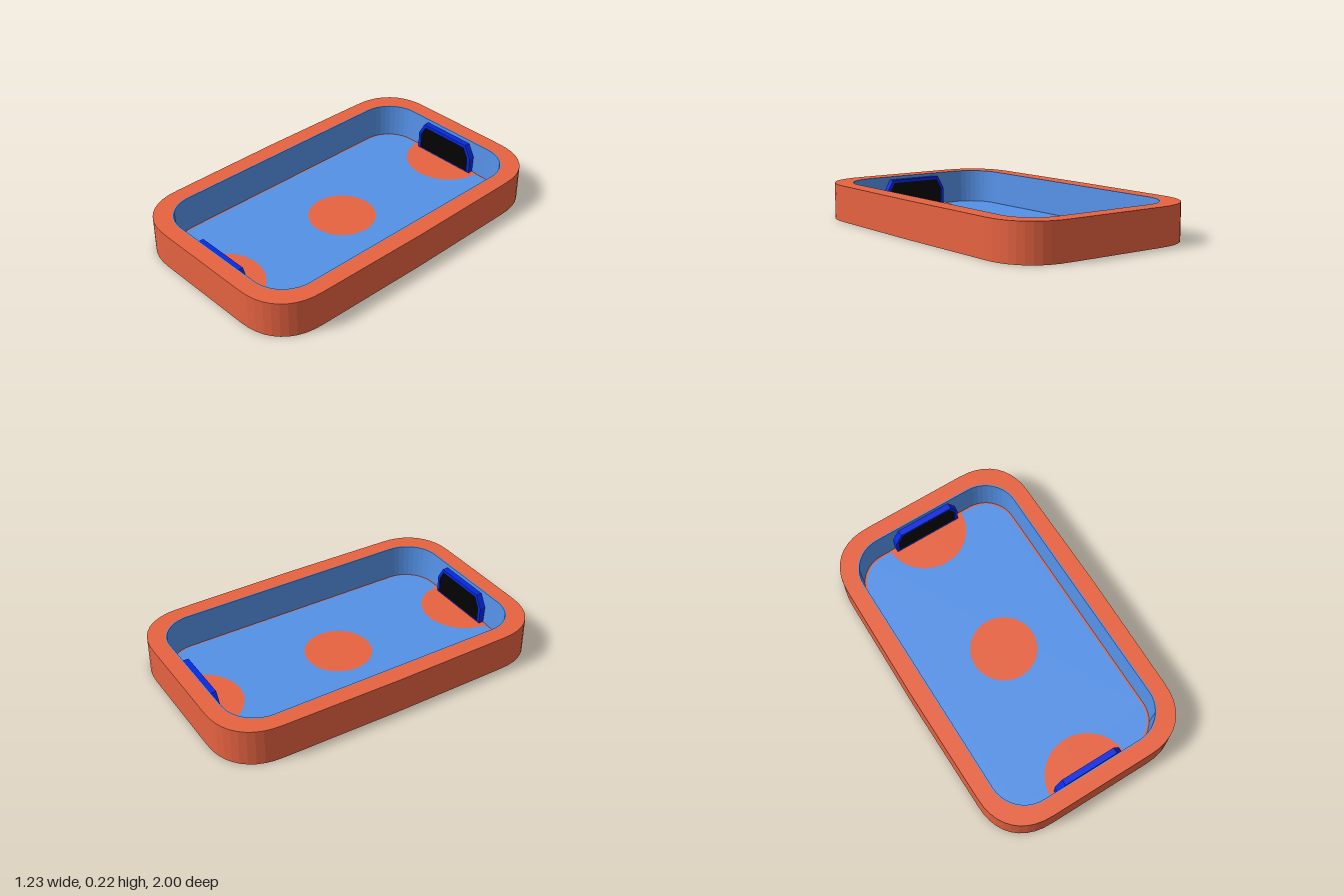
import * as THREE from 'three';

const paint = (name, color) => {
  const m = new THREE.MeshStandardMaterial({ color });
  m.name = name;
  return m;
};

const HEIGHT = 0.215, FLOOR = 0.015, TURF = 0.018;

// Rounded outline of the rink: corners of radius r about shared centres.
// A power below 1 makes the corners squarer; bow pushes out the middle of the long sides.
function outline(r, power = 1, bow = 0) {
  const pts = [], steps = 10;
  [[1, 1], [-1, 1], [-1, -1], [1, -1]].forEach(([sx, sy], q) => {
    for (let i = 0; i <= steps; i++) {
      const t = (q % 2 ? steps - i : i) / steps * Math.PI / 2;
      const x = Math.max(Math.cos(t), 0) ** power, y = Math.sin(t) ** power;
      pts.push(new THREE.Vector2(sx * (0.31 + r * x), sy * (0.7 + r * y)));
    }
    if (q === 1) pts.push(new THREE.Vector2(-0.31 - r - bow, 0));
    if (q === 3) pts.push(new THREE.Vector2(0.31 + r + bow, 0));
  });
  return pts;
}

// Flat slab lying on the ground plane, from y0 to y1
function slab(shape, y0, y1) {
  const g = new THREE.ExtrudeGeometry(shape, { depth: y1 - y0, bevelEnabled: false });
  return g.rotateX(-Math.PI / 2).translate(0, y0, 0);
}

// Closed ring swept around the rink from a [radius, height] cross-section
function sweptRing(profile) {
  const pos = [];
  const loops = profile.map(([r, y]) => outline(r).map((p) => [p.x, y, -p.y]));
  const n = loops[0].length;
  loops.forEach((a, k) => {
    const b = loops[(k + 1) % loops.length];
    for (let i = 0; i < n; i++) {
      const j = (i + 1) % n;
      pos.push(...a[i], ...a[j], ...b[j], ...a[i], ...b[j], ...b[i]);
    }
  });
  const g = new THREE.BufferGeometry();
  g.setAttribute('position', new THREE.Float32BufferAttribute(pos, 3));
  g.computeVertexNormals();
  return g;
}

// Goal mouth with sloping shoulders, inset by t
function goalPoints(t) {
  const w = 0.21 - t, top = 0.182 - t, base = t * 0.5;
  return [[-w, base], [w, base], [w, 0.107 - t * 0.3], [0.168 - t * 0.6, top],
    [-0.168 + t * 0.6, top], [-w, 0.107 - t * 0.3]].map(([x, y]) => new THREE.Vector2(x, y));
}

export function createModel() {
  const orange = paint('orange', 0xe86341);
  const blue = paint('light blue', 0x5592e8);
  const goalBlue = paint('deep blue', 0x0428e4);
  const black = paint('black', 0x030303);

  const model = new THREE.Group();
  model.name = 'rink';
  const add = (parent, name, geometry, material) => {
    const mesh = new THREE.Mesh(geometry, material);
    mesh.name = name;
    parent.add(mesh);
    return mesh;
  };

  // Thick outer wall
  const wall = new THREE.Shape(outline(0.3, 0.87, 0.007));
  wall.holes.push(new THREE.Path(outline(0.206)));
  add(model, 'outerWall', slab(wall, 0, HEIGHT), orange);

  // Thin lining, leaning slightly inwards at its foot
  add(model, 'innerLining',
    sweptRing([[0.206, 0], [0.206, HEIGHT], [0.199, HEIGHT], [0.189, FLOOR], [0.199, 0]]), blue);

  // Base and playing surface
  add(model, 'base', slab(new THREE.Shape(outline(0.199)), 0, FLOOR), orange);
  add(model, 'playingSurface', slab(new THREE.Shape(outline(0.178)), FLOOR, TURF), blue);

  // Floor markings
  const centre = new THREE.CircleGeometry(0.195, 48).rotateX(-Math.PI / 2);
  add(model, 'centreCircle', centre, orange).position.y = TURF + 0.002;

  // A goal and its crease at each end
  for (const [name, turn] of [['backGoal', 0], ['frontGoal', Math.PI]]) {
    const end = new THREE.Group();
    end.name = name;
    end.rotation.y = turn;
    const crease = new THREE.CircleGeometry(0.245, 32, Math.PI, Math.PI).rotateX(-Math.PI / 2);
    add(end, 'crease', crease, orange).position.set(0, TURF + 0.002, -0.888);

    const frame = new THREE.Shape(goalPoints(0));
    frame.holes.push(new THREE.Path(goalPoints(0.018)));
    const frameGeo = new THREE.ExtrudeGeometry(frame, { depth: 0.036, bevelEnabled: false });
    add(end, 'goalFrame', frameGeo, goalBlue).position.set(0, FLOOR, -0.894);

    const mouth = new THREE.ExtrudeGeometry(new THREE.Shape(goalPoints(0.016)), { depth: 0.03, bevelEnabled: false });
    add(end, 'goalMouth', mouth, black).position.set(0, FLOOR, -0.892);
    model.add(end);
  }
  return model;
}
